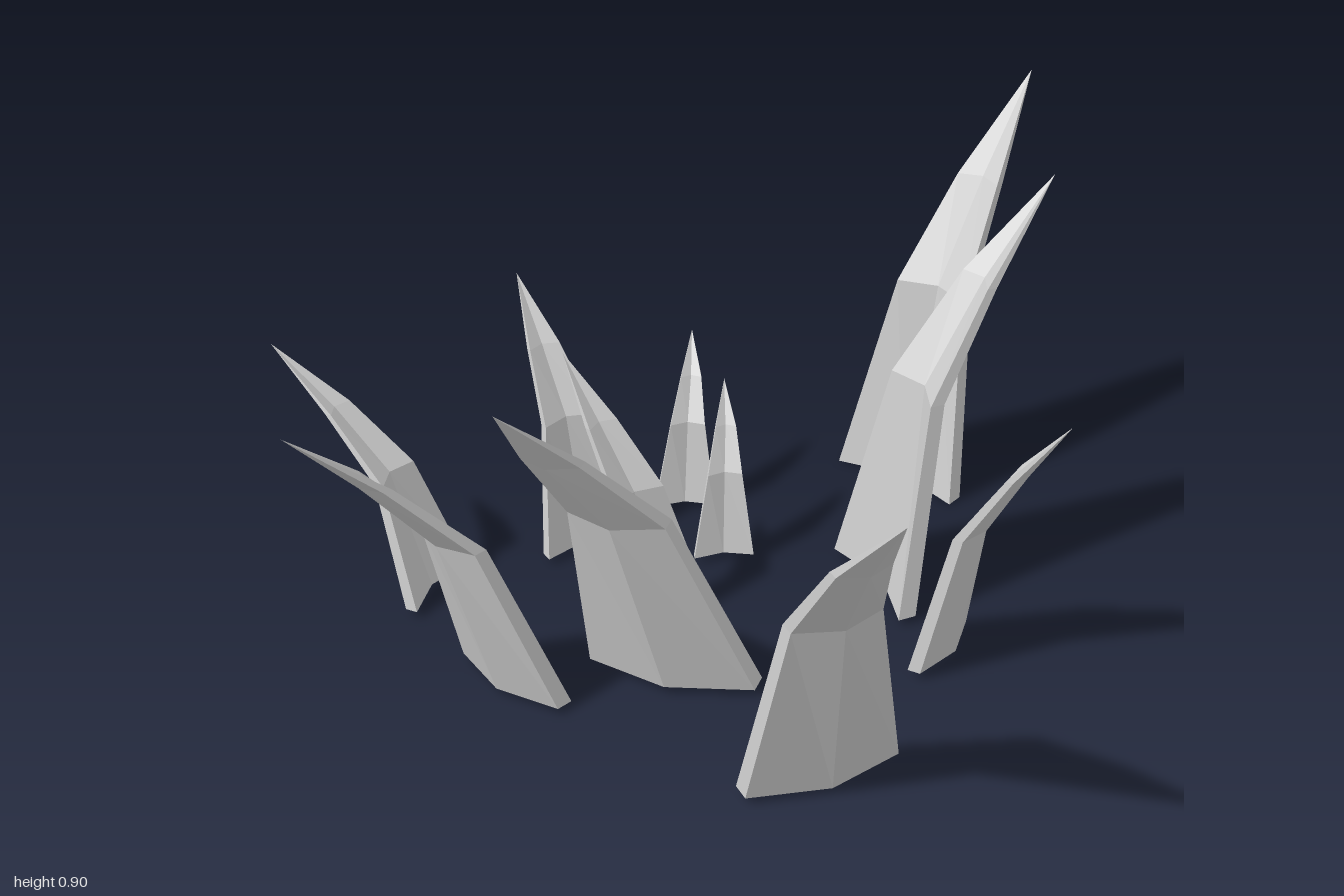
import * as THREE from 'three';

// Each blade: base end A (x, z), base end B (x, z), tip (x, y, z).
const BLADES = [
  { name: 'frontBlade', a: [-0.295, 0.405], b: [0.045, 0.415], tip: [-0.205, 0.875, 0.875] },
  { name: 'backLeftBlade', a: [0.505, -0.655], b: [0.64, -0.365], tip: [1, 0.885, -0.69], y: 0 },
  { name: 'leftBlade', a: [0.305, -0.29], b: [0.295, 0.025], tip: [0.725, 0.905, -0.15] },
  { name: 'frontLeftBlade', a: [0.21, 0.205], b: [0.395, 0.08], tip: [0.46, 0.63, 0.37] },
  { name: 'middleBlade', a: [-0.36, -0.165], b: [-0.1, 0.095], tip: [-0.67, 0.84, 0.15] },
  { name: 'rightBlade', a: [-0.59, -0.295], b: [-0.49, -0.02], tip: [-1, 0.745, -0.105] },
  { name: 'backRightBlade', a: [-0.65, -0.49], b: [-0.48, -0.62], tip: [-0.79, 0.52, -0.88] },
  { name: 'backBlade', a: [-0.305, -0.555], b: [-0.09, -0.57], tip: [-0.23, 0.58, -0.84] },
  { name: 'innerBackBlade', a: [-0.27, -0.195], b: [-0.06, -0.25], tip: [-0.27, 0.56, -0.49] },
  { name: 'smallBackBlade', a: [0.005, -0.645], b: [0.13, -0.59], tip: [0.16, 0.38, -0.76] },
  { name: 'smallInnerBlade', a: [-0.01, -0.405], b: [0.115, -0.36], tip: [0.125, 0.38, -0.52] },
];

// Rings up the blade, as fractions of its rise, outward lean, sideways drift and size.
const RINGS = [
  { rise: 0, lean: 0, drift: 0, width: 1, thick: 1 },
  { rise: 0.52, lean: 0.24, drift: 0.4, width: 0.57, thick: 0.8 },
  { rise: 0.77, lean: 0.59, drift: 0.8, width: 0.34, thick: 0.55 },
];

// Bowed strip section, [across, outward, thickness]: inner side, then outer side back.
const SECTION = [
  [-0.5, 0, -1], [0, 1, -1], [0.5, 0, -1],
  [0.5, 0, 1], [0, 1, 1], [-0.5, 0, 1],
];

function bladeGeometry({ a, b, tip, y = 0.015 }) {
  let A = new THREE.Vector3(a[0], y, a[1]);
  let B = new THREE.Vector3(b[0], y, b[1]);
  const T = new THREE.Vector3(...tip);
  const centre = A.clone().add(B).multiplyScalar(0.5);
  const reach = T.clone().sub(centre);
  const across = B.clone().sub(A);
  const size = across.length();
  across.normalize();
  // The outward direction is square to the base and points to the tip.
  if (-across.z * reach.x + across.x * reach.z < 0) across.negate();
  const out = new THREE.Vector3(-across.z, 0, across.x);
  const lean = reach.dot(out), drift = reach.dot(across);

  const rings = RINGS.map((r) => SECTION.map(([w, bow, t]) => centre.clone()
    .addScaledVector(across, r.drift * drift + w * size * r.width)
    .addScaledVector(out, r.lean * lean + size * (bow * 0.13 * r.thick + t * 0.065 * r.thick))
    .setY(y + r.rise * reach.y)));

  const pts = [];
  const quad = (p, q, r, s) => pts.push(p, q, r, p, r, s);
  // Underside
  const base = rings[0];
  quad(base[0], base[1], base[4], base[5]);
  quad(base[1], base[2], base[3], base[4]);
  // Sides, closing in a point
  for (let i = 0; i < 6; i++) {
    const j = (i + 1) % 6;
    for (let k = 0; k < 2; k++) quad(rings[k][i], rings[k + 1][i], rings[k + 1][j], rings[k][j]);
    pts.push(rings[2][i], T, rings[2][j]);
  }
  const geometry = new THREE.BufferGeometry().setFromPoints(pts);
  geometry.computeVertexNormals();
  return geometry;
}

export function createModel() {
  const group = new THREE.Group();
  group.name = 'grassTuft';
  const material = new THREE.MeshStandardMaterial({ color: 0xcccccc, flatShading: true });
  for (const blade of BLADES) {
    const mesh = new THREE.Mesh(bladeGeometry(blade), material);
    mesh.name = blade.name;
    group.add(mesh);
  }
  return group;
}
